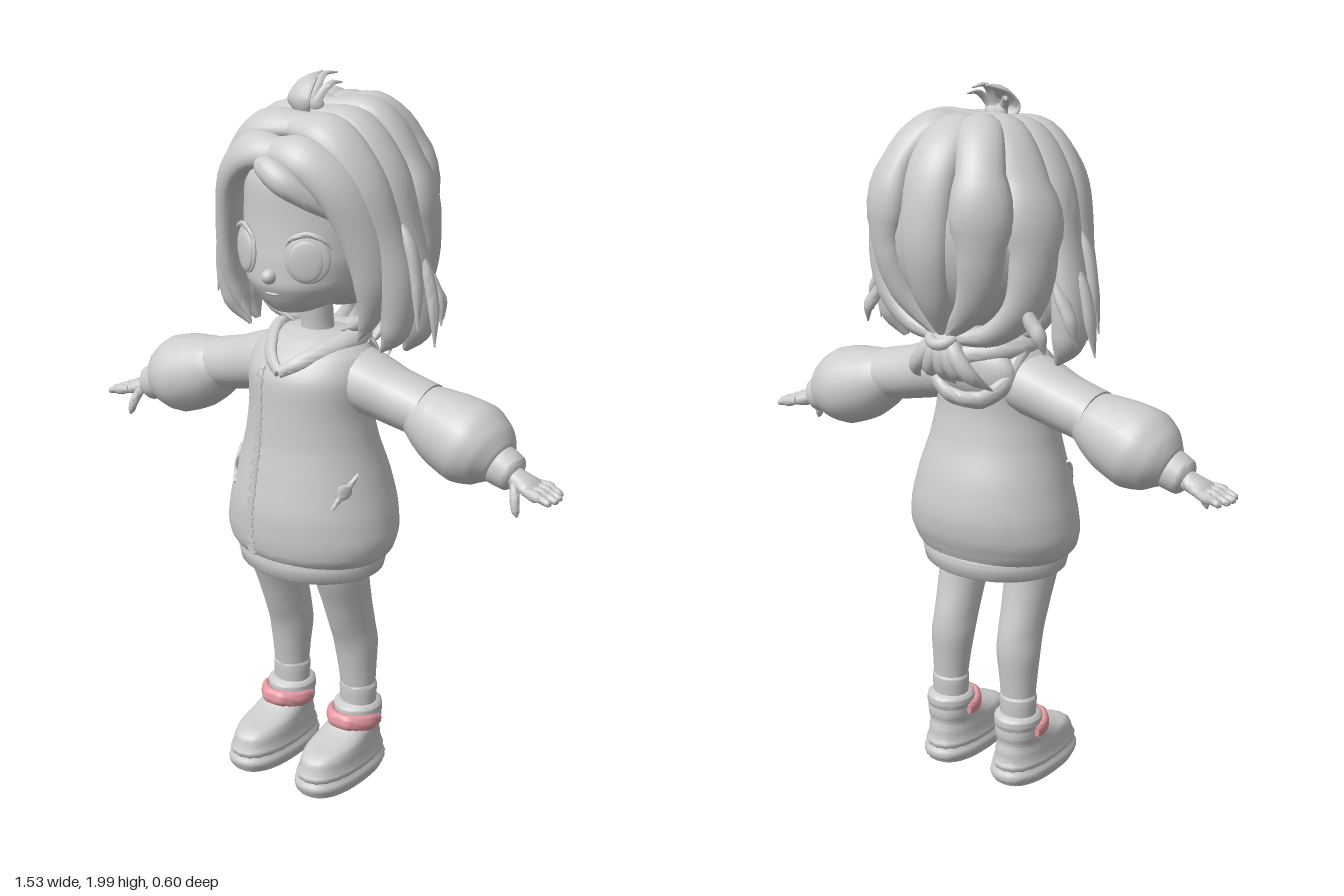
import * as THREE from 'three';
import { toCreasedNormals } from 'three/addons/utils/BufferGeometryUtils.js';

const grey = new THREE.MeshStandardMaterial({ color: 0xcccccc });
grey.name = 'grey clay';
const pink = new THREE.MeshStandardMaterial({ color: 0xf0a0a8 });
pink.name = 'pink strap';

const BEHIND = [0, 0, -100]; // reference that makes section depth run along z
const HEAD = [0, 1.6, 0]; // reference that lays locks flat on the head
const UP = new THREE.Vector3(0, 1, 0);

// Lofts superelliptic sections along rows of [x, y, z, halfWidth, halfDepth].
// Depth points away from ref, width runs across the path.
// level keeps sections horizontal; its rows must run upwards.
function loft(rows, ref = BEHIND, { steps = 5, sides = 20, power = 1, level = false } = {}) {
  const path = new THREE.CatmullRomCurve3(rows.map(r => new THREE.Vector3(r[0], r[1], r[2])));
  const size = new THREE.CatmullRomCurve3(rows.map(r => new THREE.Vector3(r[3], r[4], 0)));
  const n = (rows.length - 1) * steps, pos = [], idx = [];
  const centre = new THREE.Vector3(...ref);
  const bend = v => Math.sign(v) * Math.abs(v) ** power;
  for (let i = 0; i <= n; i++) {
    const p = path.getPoint(i / n), s = size.getPoint(i / n), t = level ? UP : path.getTangent(i / n);
    const out = p.clone().sub(centre);
    out.addScaledVector(t, -out.dot(t)).normalize();
    const side = out.clone().cross(t);
    for (let j = 0; j < sides; j++) {
      const a = j / sides * Math.PI * 2;
      const v = p.clone().addScaledVector(side, bend(Math.cos(a)) * Math.max(s.x, 0.001))
        .addScaledVector(out, bend(Math.sin(a)) * Math.max(s.y, 0.001));
      pos.push(v.x, v.y, v.z);
    }
  }
  const start = pos.length / 3, end = start + 1, last = n * sides;
  pos.push(...rows[0].slice(0, 3), ...rows[rows.length - 1].slice(0, 3));
  for (let j = 0; j < sides; j++) {
    const k = (j + 1) % sides;
    for (let i = 0; i < n; i++) {
      const a = i * sides + j, b = i * sides + k;
      idx.push(a, b, b + sides, a, b + sides, a + sides);
    }
    idx.push(start, k, j, end, last + j, last + k);
  }
  const g = new THREE.BufferGeometry();
  g.setAttribute('position', new THREE.Float32BufferAttribute(pos, 3));
  g.setIndex(idx);
  return toCreasedNormals(g, 0.9);
}

// Hoodie sections from the hem up
const BODY = [[0, 0.68, 0.06, 0.215, 0.175], [0, 0.71, 0.062, 0.245, 0.19], [0, 0.76, 0.056, 0.256, 0.203],
  [0, 0.82, 0.052, 0.248, 0.207], [0, 0.92, 0.052, 0.222, 0.19], [0, 1.02, 0.06, 0.193, 0.163],
  [0, 1.12, 0.066, 0.178, 0.15], [0, 1.2, 0.062, 0.183, 0.148], [0, 1.26, 0.046, 0.172, 0.13],
  [0, 1.3, 0.03, 0.13, 0.096], [0, 1.315, 0.03, 0.07, 0.06]];

// Front surface of the hoodie at x, y
function bodyZ(x, y) {
  const i = Math.max(1, BODY.findIndex(r => r[1] >= y)), a = BODY[i - 1], b = BODY[i];
  const f = (y - a[1]) / (b[1] - a[1]);
  const m = k => a[k] + (b[k] - a[k]) * f;
  return m(2) + m(4) * Math.sqrt(Math.max(0, 1 - (x / m(3)) ** 2));
}

export function createModel() {
  const model = new THREE.Group();
  const add = (name, geometry, material = grey, parent = model) => {
    const m = new THREE.Mesh(geometry, material);
    m.name = name;
    parent.add(m);
    return m;
  };
  const ball = (name, p, r, parent = model) => {
    const m = add(name, new THREE.SphereGeometry(1, 28, 20), grey, parent);
    m.position.set(...p);
    m.scale.set(...r);
    return m;
  };
  const both = (name, rows, ref, opts, material) => [1, -1].forEach(s => add(
    (s > 0 ? 'left ' : 'right ') + name,
    loft(rows.map(r => [r[0] * s, ...r.slice(1)]), ref && [ref[0] * s, ref[1], ref[2]], opts), material));

  // Hoodie, with a hollow hem band
  add('hoodie body', loft(BODY, BEHIND, { sides: 40, level: true }));
  const hem = add('hem band', toCreasedNormals(new THREE.LatheGeometry([[0.2, 0.685], [0.2, 0.642], [0.206, 0.64],
    [0.212, 0.645], [0.22, 0.68], [0.22, 0.69], [0.212, 0.7]].map(p => new THREE.Vector2(...p)), 48), 0.9));
  hem.scale.z = 0.845;
  hem.position.z = 0.06;
  ball('hips', [0, 0.7, 0.075], [0.175, 0.06, 0.105]);
  both('collar', [[0, 1.28, -0.085, 0.03, 0.03], [0.085, 1.3, -0.05, 0.032, 0.028], [0.122, 1.3, 0.03, 0.03, 0.022],
    [0.085, 1.278, 0.125, 0.026, 0.016], [0.04, 1.25, 0.184, 0.02, 0.012], [0, 1.225, 0.206, 0.015, 0.01]], [0, 1.2, 0.03]);
  ball('folded hood', [0, 1.235, -0.055], [0.14, 0.08, 0.05]);
  both('hood rim', [[0.13, 1.29, 0, 0.02, 0.015], [0.115, 1.21, -0.07, 0.025, 0.018],
    [0.06, 1.165, -0.09, 0.026, 0.018], [0, 1.155, -0.093, 0.026, 0.018]], [0, 1.25, 0.05]);
  const strip = [0.7, 0.8, 0.9, 1, 1.1, 1.2, 1.23].map(y => [-0.065, y, bodyZ(-0.065, y), 0.009, 0.006]);
  add('zip strip', loft(strip));
  for (let i = 0; i < 30; i++) {
    const y = 0.71 + i * 0.0175;
    const tooth = add('zip tooth', new THREE.BoxGeometry(0.026, 0.008, 0.008));
    tooth.position.set(-0.065, y, bodyZ(-0.065, y) + 0.004);
    tooth.rotation.z = i % 2 ? 0.6 : -0.6;
  }
  both('pocket edge', [[0.198, 0.955], [0.19, 0.927], [0.178, 0.898], [0.166, 0.87]].map(([x, y], i) =>
    [x, y, bodyZ(x, y), [0.004, 0.009, 0.009, 0.004][i], 0.007]), [0, 0.92, 0.05], { sides: 12 });

  // Sleeves, cuffs and hands
  both('upper sleeve', [[0.05, 1.215, 0.03, 0.085, 0.09], [0.15, 1.192, 0.03, 0.084, 0.098],
    [0.25, 1.163, 0.025, 0.077, 0.086], [0.35, 1.14, 0.02, 0.074, 0.083]]);
  both('puffed sleeve', [[0.33, 1.14, 0.02, 0.07, 0.08], [0.36, 1.128, 0.02, 0.086, 0.092], [0.42, 1.103, 0.02, 0.106, 0.108],
    [0.49, 1.08, 0.02, 0.113, 0.12], [0.545, 1.06, 0.02, 0.092, 0.1], [0.58, 1.045, 0.022, 0.056, 0.062]]);
  both('cuff', [[0.565, 1.048, 0.024, 0.05, 0.05], [0.575, 1.044, 0.024, 0.056, 0.055],
    [0.62, 1.026, 0.024, 0.05, 0.05], [0.628, 1.023, 0.024, 0.042, 0.042]]);
  both('palm', [[0.6, 1.03, 0.025, 0.026, 0.028], [0.64, 1.016, 0.027, 0.025, 0.034],
    [0.675, 1.004, 0.028, 0.02, 0.045], [0.695, 0.998, 0.028, 0.012, 0.042]]);
  for (let i = 0; i < 4; i++) {
    const z = -0.01 + i * 0.025, len = [0.06, 0.072, 0.075, 0.068][i];
    both('finger', [[0.675, 1.004, z, 0.011, 0.011], [0.69 + len / 2, 0.994, z, 0.011, 0.011],
      [0.682 + len, 0.986, z, 0.009, 0.009], [0.688 + len, 0.984, z, 0.002, 0.002]], BEHIND, { sides: 10 });
  }
  both('thumb', [[0.64, 1.01, 0.05, 0.013, 0.014], [0.652, 0.975, 0.068, 0.013, 0.013],
    [0.66, 0.945, 0.074, 0.01, 0.01], [0.664, 0.932, 0.075, 0.002, 0.002]], BEHIND, { sides: 10 });

  // Legs, socks and shoes
  both('leg', [[0.12, 0.24, 0.002, 0.05, 0.045], [0.118, 0.32, 0.005, 0.056, 0.054], [0.115, 0.4, 0.01, 0.063, 0.065],
    [0.113, 0.46, 0.025, 0.062, 0.073], [0.113, 0.54, 0.05, 0.066, 0.077], [0.112, 0.64, 0.078, 0.073, 0.088],
    [0.105, 0.74, 0.08, 0.08, 0.095]], BEHIND, { level: true });
  both('sock', [[0.12, 0.18, 0.002, 0.052, 0.046], [0.12, 0.25, 0.002, 0.056, 0.049],
    [0.12, 0.265, 0.002, 0.055, 0.048], [0.12, 0.27, 0.002, 0.049, 0.042]]);
  both('ankle collar', [[0.12, 0.165, 0.003, 0.062, 0.064], [0.12, 0.175, 0.003, 0.069, 0.073],
    [0.12, 0.2, 0.003, 0.068, 0.072], [0.12, 0.208, 0.003, 0.06, 0.062]]);
  both('shoe upper', [[0.12, 0.035, 0.088, 0.077, 0.158], [0.12, 0.07, 0.088, 0.077, 0.158], [0.12, 0.1, 0.084, 0.074, 0.152],
    [0.12, 0.116, 0.074, 0.071, 0.137], [0.12, 0.128, 0.05, 0.069, 0.112], [0.12, 0.15, 0.016, 0.066, 0.082],
    [0.12, 0.18, 0.003, 0.062, 0.066]], BEHIND, { power: 0.85, level: true });
  both('shoe sole', [[0.12, 0, 0.088, 0.079, 0.159], [0.12, 0.005, 0.088, 0.08, 0.161],
    [0.12, 0.044, 0.088, 0.08, 0.161], [0.12, 0.05, 0.088, 0.077, 0.158]], BEHIND, { power: 0.83, sides: 32 });
  both('shoe strap', [[0.05, 0.162, -0.005, 0.016, 0.008], [0.055, 0.164, 0.04, 0.024, 0.013], [0.085, 0.169, 0.079, 0.024, 0.014],
    [0.12, 0.17, 0.09, 0.024, 0.014], [0.155, 0.169, 0.079, 0.024, 0.014], [0.185, 0.164, 0.04, 0.024, 0.013],
    [0.19, 0.162, -0.005, 0.016, 0.008]], [0.12, 0.165, 0], {}, pink);

  // Head and face
  add('neck', loft([[0, 1.26, 0.03, 0.06, 0.055], [0, 1.33, 0.035, 0.045, 0.043], [0, 1.44, 0.045, 0.045, 0.045]]));
  add('head', loft([[0, 1.383, 0.135, 0.025, 0.03], [0, 1.39, 0.13, 0.055, 0.062], [0, 1.42, 0.1, 0.115, 0.118],
    [0, 1.47, 0.062, 0.168, 0.18], [0, 1.54, 0.036, 0.192, 0.203], [0, 1.63, 0.02, 0.2, 0.21],
    [0, 1.72, 0.012, 0.198, 0.215], [0, 1.8, 0.005, 0.17, 0.185], [0, 1.86, 0, 0.1, 0.1]],
    BEHIND, { sides: 36, level: true }));
  ball('nose', [0, 1.495, 0.242], [0.02, 0.02, 0.022]);
  ball('mouth', [0, 1.447, 0.228], [0.024, 0.005, 0.009]);
  [1, -1].forEach(s => {
    const eye = new THREE.Group();
    eye.name = s > 0 ? 'left eye' : 'right eye';
    eye.position.set(0.1 * s, 1.548, 0.209);
    eye.rotation.y = 0.5 * s;
    model.add(eye);
    ball('eyeball', [0, 0, 0], [0.06, 0.064, 0.011], eye);
    ball('iris', [-0.004 * s, -0.004, 0.006], [0.046, 0.054, 0.009], eye);
    add('upper lash', loft([[-0.058, 0.035, 0, 0.002, 0.003], [-0.042, 0.053, 0.006, 0.006, 0.005],
      [0, 0.067, 0.008, 0.008, 0.006], [0.042, 0.053, 0.006, 0.006, 0.005], [0.062, 0.03, 0, 0.002, 0.003]],
      BEHIND, { sides: 8 }), grey, eye);
    ball('ear', [0.195 * s, 1.5, 0.05], [0.022, 0.05, 0.035]).rotation.z = -0.2 * s;
  });

  // Hair: cap, then locks falling from the parting to each side and the back
  ball('hair cap', [0, 1.63, -0.055], [0.25, 0.27, 0.225]);
  both('front lock', [[-0.01, 1.815, 0.21, 0.04, 0.03], [0.08, 1.81, 0.21, 0.06, 0.036], [0.165, 1.74, 0.18, 0.062, 0.038],
    [0.215, 1.62, 0.14, 0.06, 0.036], [0.235, 1.48, 0.11, 0.052, 0.034], [0.215, 1.38, 0.1, 0.03, 0.022],
    [0.18, 1.32, 0.1, 0.002, 0.002]], HEAD);
  both('temple lock', [[-0.01, 1.87, 0.12, 0.045, 0.03], [0.11, 1.855, 0.125, 0.065, 0.038], [0.2, 1.75, 0.11, 0.065, 0.04],
    [0.245, 1.6, 0.08, 0.06, 0.04], [0.275, 1.46, 0.06, 0.055, 0.042], [0.265, 1.35, 0.05, 0.044, 0.036],
    [0.22, 1.285, 0.05, 0.004, 0.004]], HEAD);
  both('side lock', [[-0.01, 1.88, 0.03, 0.045, 0.03], [0.12, 1.87, 0.03, 0.062, 0.038], [0.215, 1.755, 0.015, 0.065, 0.04],
    [0.255, 1.6, 0, 0.062, 0.042], [0.285, 1.45, -0.015, 0.06, 0.046], [0.285, 1.35, -0.02, 0.05, 0.044],
    [0.25, 1.28, -0.02, 0.008, 0.008]], HEAD);
  both('inner lock', [[0.18, 1.47, 0.02, 0.04, 0.025], [0.185, 1.4, 0.025, 0.035, 0.025], [0.14, 1.345, 0.03, 0.025, 0.02],
    [0.08, 1.315, 0.035, 0.002, 0.002]], HEAD, { sides: 12 });
  both('rear side lock', [[-0.01, 1.89, -0.02, 0.03, 0.03], [0.11, 1.885, -0.07, 0.065, 0.04], [0.2, 1.76, -0.1, 0.07, 0.042],
    [0.24, 1.6, -0.12, 0.07, 0.042], [0.215, 1.45, -0.13, 0.06, 0.04], [0.13, 1.37, -0.15, 0.04, 0.03],
    [0.03, 1.35, -0.18, 0.015, 0.015]], HEAD);
  both('back lock', [[0, 1.885, -0.02, 0.02, 0.02], [0.075, 1.895, -0.12, 0.06, 0.038], [0.13, 1.8, -0.2, 0.064, 0.042],
    [0.15, 1.62, -0.225, 0.064, 0.042], [0.115, 1.47, -0.205, 0.05, 0.036], [0.02, 1.365, -0.18, 0.02, 0.02]], HEAD);
  add('centre back lock', loft([[0, 1.88, 0, 0.02, 0.02], [0, 1.89, -0.12, 0.066, 0.04], [0, 1.81, -0.22, 0.074, 0.044],
    [0, 1.62, -0.262, 0.072, 0.042], [0, 1.47, -0.23, 0.055, 0.036], [0, 1.365, -0.18, 0.02, 0.02]], HEAD));
  add('swept bang', loft([[-0.04, 1.785, 0.225, 0.012, 0.012], [0, 1.785, 0.255, 0.03, 0.026], [0.06, 1.755, 0.262, 0.036, 0.03],
    [0.12, 1.705, 0.225, 0.026, 0.022], [0.165, 1.65, 0.175, 0.003, 0.003]], HEAD));
  [[0.04, 1.66, 0.335, 1.36], [-0.01, 1.58, 0.355, 1.31], [-0.07, 1.54, 0.335, 1.35], [-0.15, 1.5, 0.29, 1.34]].forEach(
    ([z, top, x, low]) => both('loose strand', [[x - 0.08, top, z, 0.004, 0.004], [x - 0.035, top - 0.08, z, 0.02, 0.015],
      [x - 0.012, (top + low) / 2 - 0.03, z, 0.02, 0.014], [x, low, z + 0.01, 0.002, 0.002]], HEAD, { sides: 10 }));

  // Ponytail and its tie
  const tie = add('hair tie', new THREE.TorusGeometry(0.035, 0.016, 10, 24));
  tie.position.set(0, 1.355, -0.185);
  tie.rotation.x = 1.1;
  [-0.1, -0.05, 0, 0.05, 0.1].forEach((x, i) => add('ponytail strand', loft([[x * 0.1, 1.37, -0.175, 0.02, 0.02],
    [x * 0.5, 1.31, -0.2, 0.026, 0.02], [x * 0.9, 1.26, -0.19, 0.022, 0.017],
    [x * 1.2, 1.21 + (i % 2) * 0.02, -0.13, 0.002, 0.002]], [0, 1.3, 0], { sides: 10 })));

  // Sprouts on the crown
  add('crown sprout', loft([[-0.02, 1.87, 0.05, 0.02, 0.015], [-0.022, 1.925, 0.085, 0.042, 0.014],
    [-0.02, 1.97, 0.05, 0.03, 0.012], [-0.015, 1.99, -0.01, 0.003, 0.003]], [0, 1.88, -0.02], { sides: 12 }));
  [[0.04, 1.965, -0.02], [-0.07, 1.955, 0], [0.01, 1.985, -0.04]].forEach(([x, y, z]) => add('small sprout',
    loft([[0, 1.88, 0.04, 0.014, 0.01], [x * 0.4, 1.93, 0.05, 0.014, 0.01], [x * 0.8, y, 0.02, 0.01, 0.007],
      [x, y, z, 0.002, 0.002]], [0, 1.85, -0.1], { sides: 8 })));
  return model;
}
